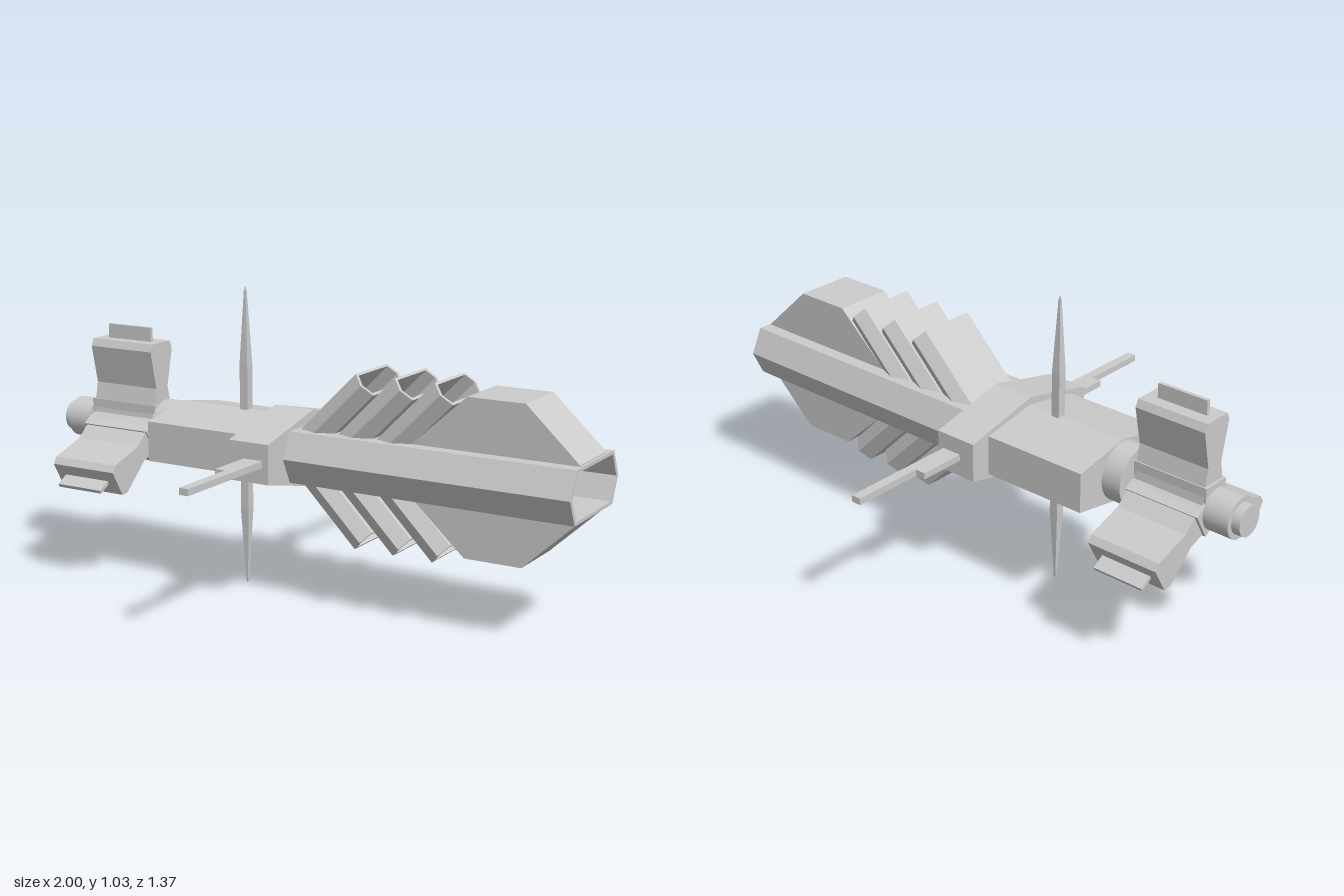
import * as THREE from 'three';

const AXIS = 0.53; // height of the ship's long axis
const flat = new THREE.MeshStandardMaterial({ color: 0xcccccc, flatShading: true, side: THREE.DoubleSide });
const smooth = new THREE.MeshStandardMaterial({ color: 0xcccccc });

function add(parent, name, geometry, x = 0, y = 0, z = 0, material = flat) {
  const mesh = new THREE.Mesh(geometry, material);
  mesh.name = name;
  mesh.position.set(x, y, z);
  parent.add(mesh);
  return mesh;
}

const points = (list) => list.map(([a, b]) => new THREE.Vector2(a, b));

// Extrudes a (z, y) outline along +x, starting at x = 0
function alongX(outline, length, hole) {
  const shape = new THREE.Shape(points(outline));
  if (hole) shape.holes.push(new THREE.Path(points(hole)));
  return new THREE.ExtrudeGeometry(shape, { depth: length, bevelEnabled: false }).rotateY(Math.PI / 2);
}

// Hexagon with ridges at top and bottom and upright sides
const ridged = (halfZ, side, ridge) => [
  [0, ridge], [-halfZ, side], [-halfZ, -side], [0, -ridge], [halfZ, -side], [halfZ, side]];

// Hexagon with flat top and bottom and pointed sides
const pointed = (tip, flatZ, halfY) => [
  [tip, 0], [flatZ, halfY], [-flatZ, halfY], [-tip, 0], [-flatZ, -halfY], [flatZ, -halfY]];

// Slanted hollow tube: its foot is cut level so it sits on the barrel
function slantedTube() {
  const geo = alongX(pointed(0.127, 0.102, 0.045), 0.25, pointed(0.114, 0.094, 0.036));
  const pos = geo.attributes.position;
  for (let i = 0; i < pos.count; i++) {
    if (pos.getX(i) < 0.01) pos.setX(i, -pos.getY(i));
  }
  geo.rotateZ(Math.PI / 4);
  geo.computeVertexNormals();
  return geo;
}

function cylinderX(radius, length) {
  return new THREE.CylinderGeometry(radius, radius, length, 32).rotateZ(Math.PI / 2);
}

export function createModel() {
  const model = new THREE.Group();
  model.name = 'spaceship';
  const ship = new THREE.Group();
  ship.name = 'hull';
  ship.position.y = AXIS;
  model.add(ship);

  // Main hull
  add(ship, 'body', alongX(ridged(0.205, 0.068, 0.105), 0.375), -0.52);
  add(ship, 'collar', alongX(ridged(0.278, 0.066, 0.13), 0.15), -0.145);
  add(ship, 'barrel', alongX(pointed(0.19, 0.148, 0.086), 0.995, pointed(0.174, 0.138, 0.075)), 0.003);

  // Fin and slanted tubes, above and below
  for (const side of ['upper', 'lower']) {
    const half = new THREE.Group();
    half.name = side + 'Array';
    if (side === 'lower') half.rotation.x = Math.PI;
    ship.add(half);
    const finShape = new THREE.Shape(points([
      [0.43, 0.08], [0.99, 0.08], [0.99, 0.09], [0.81, 0.257], [0.615, 0.257], [0.43, 0.09]]));
    const fin = new THREE.ExtrudeGeometry(finShape, { depth: 0.206, bevelEnabled: false });
    add(half, side + 'Fin', fin, 0, 0, -0.103);
    for (let i = 0; i < 3; i++) {
      add(half, side + 'Tube', slantedTube(), 0.078 + i * 0.14, 0.08, 0);
    }
  }

  // Vertical mast: a four-sided spindle
  const mast = new THREE.LatheGeometry(points([
    [0, -0.515], [0.005, -0.5], [0.022, -0.25], [0.02, 0], [0.022, 0.25], [0.005, 0.5], [0, 0.515]]), 4);
  add(ship, 'mast', mast.rotateY(Math.PI / 4), -0.26, 0.005);

  // Side antennas: a long bar with a short bar beside it
  for (const s of [1, -1]) {
    add(ship, 'longAntenna', new THREE.BoxGeometry(0.034, 0.022, 0.425), -0.034, 0, s * 0.4725);
    add(ship, 'shortAntenna', new THREE.BoxGeometry(0.037, 0.022, 0.18), -0.069, 0, s * 0.35);
  }

  // Neck, hub and nozzle
  add(ship, 'neck', cylinderX(0.1, 0.07), -0.555, 0, 0, smooth);
  add(ship, 'hub', cylinderX(0.055, 0.28), -0.74, 0, 0, smooth);
  add(ship, 'nozzle', cylinderX(0.07, 0.09), -0.925, 0, 0, smooth);
  add(ship, 'nozzleTip', cylinderX(0.052, 0.03), -0.985, 0, 0, smooth);

  // Three engine pods around the hub, each with a thin plate on its outer face
  const sideLine = [[0.055, 0.02], [0.045, 0.085], [0.033, 0.14], [0.062, 0.272], [0.05, 0.297]];
  const podOutline = [...sideLine, ...sideLine.map(([z, y]) => [-z, y]).reverse()];
  for (let i = 0; i < 3; i++) {
    const pod = new THREE.Group();
    pod.name = 'enginePod';
    pod.rotation.x = (i * Math.PI * 2) / 3;
    pod.position.z = i ? 0.006 : 0;
    ship.add(pod);
    add(pod, 'podBody', alongX(podOutline, 0.255), -0.865);
    add(pod, 'podRoot', new THREE.BoxGeometry(0.27, 0.05, 0.1), -0.74, 0.058, 0);
    add(pod, 'podPlate', new THREE.BoxGeometry(0.18, 0.06, 0.013), -0.74, 0.316, 0);
  }
  return model;
}
